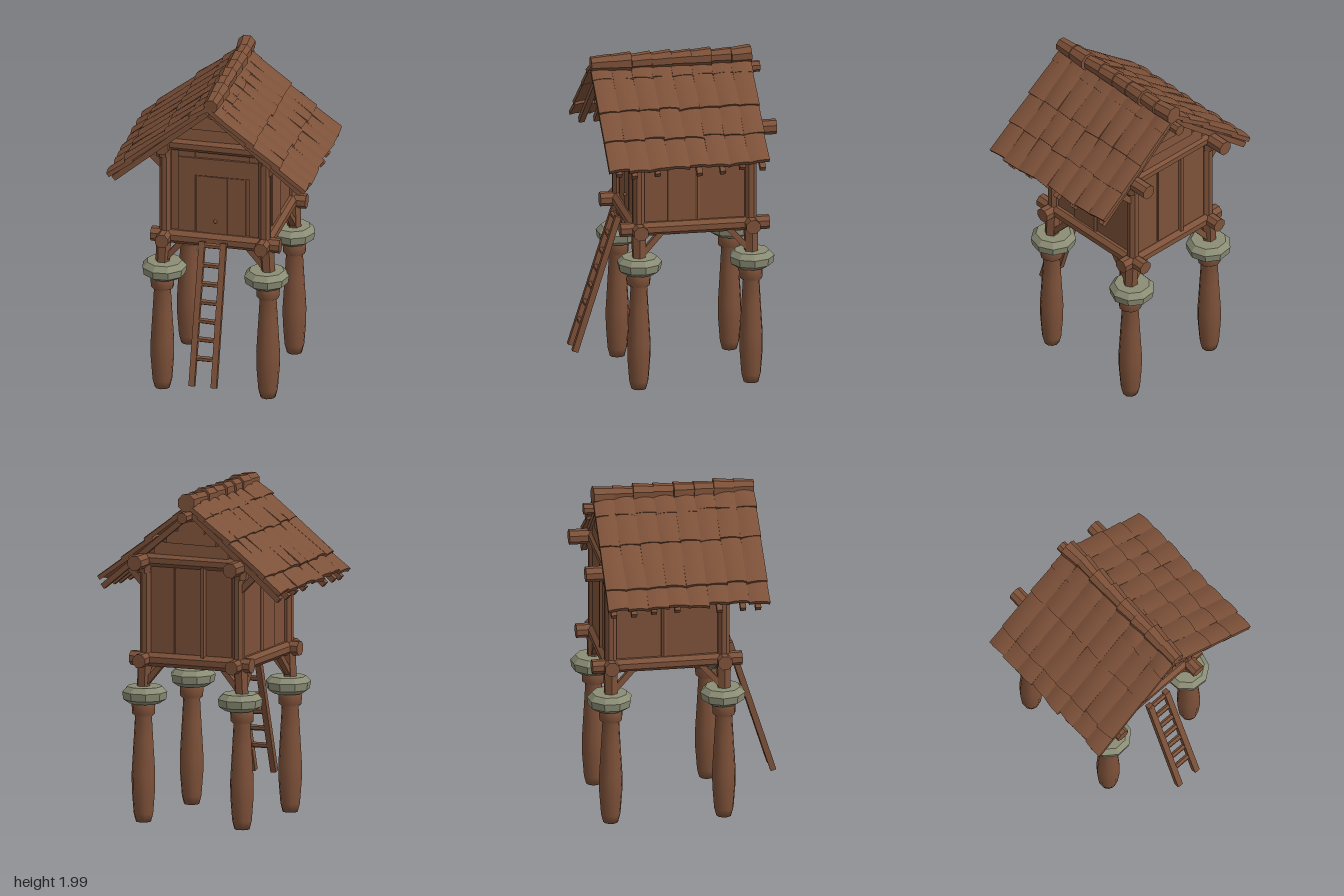
import * as THREE from 'three';

export function createModel() {
  const model = new THREE.Group();
  model.name = 'stiltHut';
  const mat = (name, color) => Object.assign(new THREE.MeshStandardMaterial({ color }), { name });
  const wood = mat('brownWood', 0x7d5139);
  const stone = mat('greyGreenStone', 0x8b8d75);
  const V = (x, y, z) => new THREE.Vector3(x, y, z);

  let seed = 7;
  const jitter = (a) => {
    seed = (seed * 16807) % 2147483647;
    return (seed / 2147483647 - 0.5) * 2 * a;
  };
  const add = (geo, name, material = wood) => {
    const mesh = new THREE.Mesh(geo, material);
    mesh.name = name;
    model.add(mesh);
    return mesh;
  };
  const box = (name, x, y, z, w, h, d) => {
    const m = add(new THREE.BoxGeometry(w, h, d), name);
    m.position.set(x, y, z);
    return m;
  };
  // Faceted log or squared beam from a to b, slightly tapered
  const log = (name, a, b, r, sides = 8, taper = 1) => {
    const g = new THREE.CylinderGeometry(r * taper, r, a.distanceTo(b), sides);
    g.rotateY(Math.PI / sides);
    const m = add(g.toNonIndexed(), name);
    m.geometry.computeVertexNormals();
    m.position.copy(a).add(b).multiplyScalar(0.5);
    m.quaternion.setFromUnitVectors(V(0, 1, 0), b.clone().sub(a).normalize());
    return m;
  };

  const frontZ = 0.235, backZ = -0.44;

  // Stilts, flat stones, short necks and knee braces at the four corners
  const stiltProfile = [[0, 0.01], [0.045, 0.01], [0.058, 0.06], [0.069, 0.2], [0.07, 0.3], [0.058, 0.5],
    [0.05, 0.64], [0.068, 0.655], [0.07, 0.71], [0.055, 0.74], [0, 0.74]].map((p) => new THREE.Vector2(...p));
  const stoneProfile = [[0, 0.72], [0.09, 0.72], [0.128, 0.745], [0.135, 0.79], [0.105, 0.822], [0, 0.822]]
    .map((p) => new THREE.Vector2(...p));
  for (const s of [-1, 1]) {
    for (const z of [frontZ, backZ]) {
      const x = s * 0.32, inward = z > 0 ? -1 : 1;
      add(new THREE.LatheGeometry(stiltProfile, 10), 'stilt').position.set(x, 0, z);
      const slab = add(new THREE.LatheGeometry(stoneProfile, 9).toNonIndexed(), 'stoneDisc', stone);
      slab.geometry.computeVertexNormals();
      slab.position.set(x - s * 0.01, 0, z - 0.005);
      slab.rotation.y = jitter(1);
      log('stiltNeck', V(x, 0.8, z), V(s * 0.31, 1.0, z), 0.042, 6, 1.1);
      log('floorBraceAcross', V(x - s * 0.02, 0.84, z), V(s * 0.19, 0.97, z), 0.024, 4);
      log('floorBraceAlong', V(x, 0.84, z + inward * 0.02), V(s * 0.31, 0.97, z + inward * 0.14), 0.024, 4);
      // corner post with knuckles at both joints
      log('cornerPost', V(s * 0.3, 0.98, z), V(s * 0.3, 1.6, z), 0.037, 8);
      log('cornerKnuckle', V(s * 0.31, 1.5, z), V(s * 0.31, 1.56, z), 0.045, 8, 1.2);
      log('eaveBrace', V(s * 0.31, 1.43, z), V(s * 0.42, 1.54, z), 0.026, 4);
    }
    // long beams along the sides
    log('sideFloorBeam', V(s * 0.3, 0.99, 0.345), V(s * 0.3, 0.985, -0.55), 0.043);
    log('wallPlate', V(s * 0.31, 1.575, 0.31), V(s * 0.31, 1.575, -0.59), 0.046);
  }
  for (const z of [frontZ, backZ]) {
    log('crossFloorBeam', V(-0.385, 0.99, z), V(0.395, 0.985, z), 0.045);
    log('tieBeam', V(-0.31, 1.585, z), V(0.31, 1.58, z), 0.042);
  }
  box('floor', 0, 0.98, -0.1, 0.6, 0.03, 0.68);
  for (const z of [0.02, -0.22]) log('floorJoist', V(-0.3, 0.965, z), V(0.3, 0.965, z), 0.025, 6);

  // Gable walls
  const gable = new THREE.Shape([[-0.3, 0.98], [0.3, 0.98], [0.3, 1.62], [0, 1.875], [-0.3, 1.62]]
    .map((p) => new THREE.Vector2(...p)));
  for (const [z, name] of [[0.205, 'frontWall'], [-0.445, 'backWall']]) {
    add(new THREE.ExtrudeGeometry(gable, { depth: 0.03, bevelEnabled: false }), name).position.z = z;
  }
  // Overlapping boards in the gables
  for (const [y, w] of [[1.655, 0.48], [1.725, 0.32], [1.79, 0.17]]) {
    for (const [z, t] of [[0.24, 0.12], [-0.45, -0.12]]) {
      box('gableBoard', 0, y, z, w, 0.075, 0.02).rotation.set(-t, 0, jitter(0.02));
    }
  }

  // Side wall planks and battens
  for (const s of [-1, 1]) {
    [[0.14, 0.17, 0.283], [-0.03, 0.175, 0.29], [-0.27, 0.31, 0.283]].forEach(([z, d, x]) =>
      box('sideWallPlank', s * x, 1.29, z, 0.03, 0.62, d));
    log('sideBatten', V(s * 0.295, 1.0, -0.12), V(s * 0.295, 1.58, -0.12), 0.018, 6);
  }
  // Back wall planks and batten
  for (const [x, w] of [[-0.17, 0.18], [0.02, 0.17], [0.19, 0.15]]) {
    box('backWallPlank', x, 1.28, -0.447, w, 0.56, 0.014);
  }
  log('backBatten', V(-0.075, 1.0, -0.452), V(-0.075, 1.58, -0.452), 0.02, 6);

  // Front planks, door and its handle
  box('frontPlank', -0.17, 1.28, 0.236, 0.1, 0.56, 0.014);
  box('frontPlank', 0.245, 1.28, 0.236, 0.07, 0.56, 0.014);
  box('frontLintel', 0.04, 1.45, 0.24, 0.52, 0.11, 0.02);
  [-0.075, 0.015, 0.125].forEach((x, i) =>
    box('doorBoard', x, 1.205, 0.237 + (i % 2) * 0.003, i ? 0.12 : 0.08, 0.37, 0.014));
  const knob = add(new THREE.SphereGeometry(0.011, 8, 6), 'doorHandle');
  knob.position.set(0.005, 1.11, 0.255);

  // Ridge pole and rafters poking out under the eaves
  log('ridgePole', V(0.02, 1.86, 0.4), V(0.02, 1.86, -0.55), 0.034);
  const slope = 0.83, ridgeY = 1.925;
  for (const s of [-1, 1]) {
    for (const z of [0.4, 0.31, 0.17, -0.08, -0.22, -0.34, -0.46]) {
      const e = 0.57 + jitter(0.012);
      log('rafter', V(s * 0.01, ridgeY - 0.055, z), V(s * e, ridgeY - 0.05 - slope * e, z), 0.024, 4);
    }
  }

  // Shingle: thin board with an arched, uneven top; runs down the slope from its origin
  const shingle = (len, width) => {
    const g = new THREE.BoxGeometry(len, 0.026, width, 2, 1, 4);
    const p = g.attributes.position;
    const droop = jitter(0.006), skew = jitter(0.006);
    for (let i = 0; i < p.count; i++) {
      const u = p.getZ(i) / (width / 2), end = p.getX(i) / (len / 2);
      p.setY(i, p.getY(i) + 0.01 * (1 - u * u) + droop * u * end);
      p.setX(i, p.getX(i) + (end > 0.5 ? skew * u : 0));
      p.setZ(i, p.getZ(i) * (1 + 0.03 * end));
    }
    g.translate(len / 2, 0, 0);
    g.computeVertexNormals();
    return g;
  };
  const columns = 8, z0 = -0.495, pitch = 0.12;
  const rows = { '-1': [0.0, 0.09, 0.25, 0.48, 0.585], '1': [0.0, 0.09, 0.27, 0.425, 0.585] };
  const angle = Math.atan(slope);
  for (const s of [-1, 1]) {
    const side = new THREE.Group();
    side.name = s > 0 ? 'leftRoof' : 'rightRoof';
    side.rotation.y = s > 0 ? 0 : Math.PI;
    model.add(side);
    for (let c = 0; c < columns; c++) {
      const z = z0 + (c + 0.5) * pitch;
      for (let r = 0; r < 4; r++) {
        const a = Math.max(0, rows[s][r] - 0.03), b = rows[s][r + 1] + jitter(0.007);
        const m = new THREE.Mesh(shingle((b - a) / Math.cos(angle), pitch + 0.002), wood);
        m.name = 'shingle';
        m.position.set(a, ridgeY - slope * a - 0.006 + jitter(0.003), s * z);
        m.rotation.z = -angle + 0.05;
        side.add(m);
      }
    }
  }

  // Rounded ridge caps, alternating in size
  for (let c = 0; c < columns; c++) {
    const z = z0 + c * pitch, r = (c % 2 ? 0.05 : 0.056) + jitter(0.003);
    log('ridgeCap', V(0.025 + jitter(0.008), 1.942, z), V(0.025, 1.938, z + pitch), r, 8, 0.86);
  }

  // Ladder leaning on the front beam
  const foot = V(0, 0.18, 0.57), top = V(0, 1.0, 0.31);
  for (const x of [-0.062, 0.072]) {
    log('ladderRail', V(x, foot.y, foot.z), V(x * 0.97, top.y, top.z), 0.025, 4);
  }
  for (let i = 0; i < 7; i++) {
    const p = foot.clone().lerp(top, (0.16 + i * 0.106) / 0.82);
    log('ladderRung', V(-0.07, p.y + jitter(0.005), p.z), V(0.08, p.y + jitter(0.005), p.z), 0.017, 6);
  }
  return model;
}
